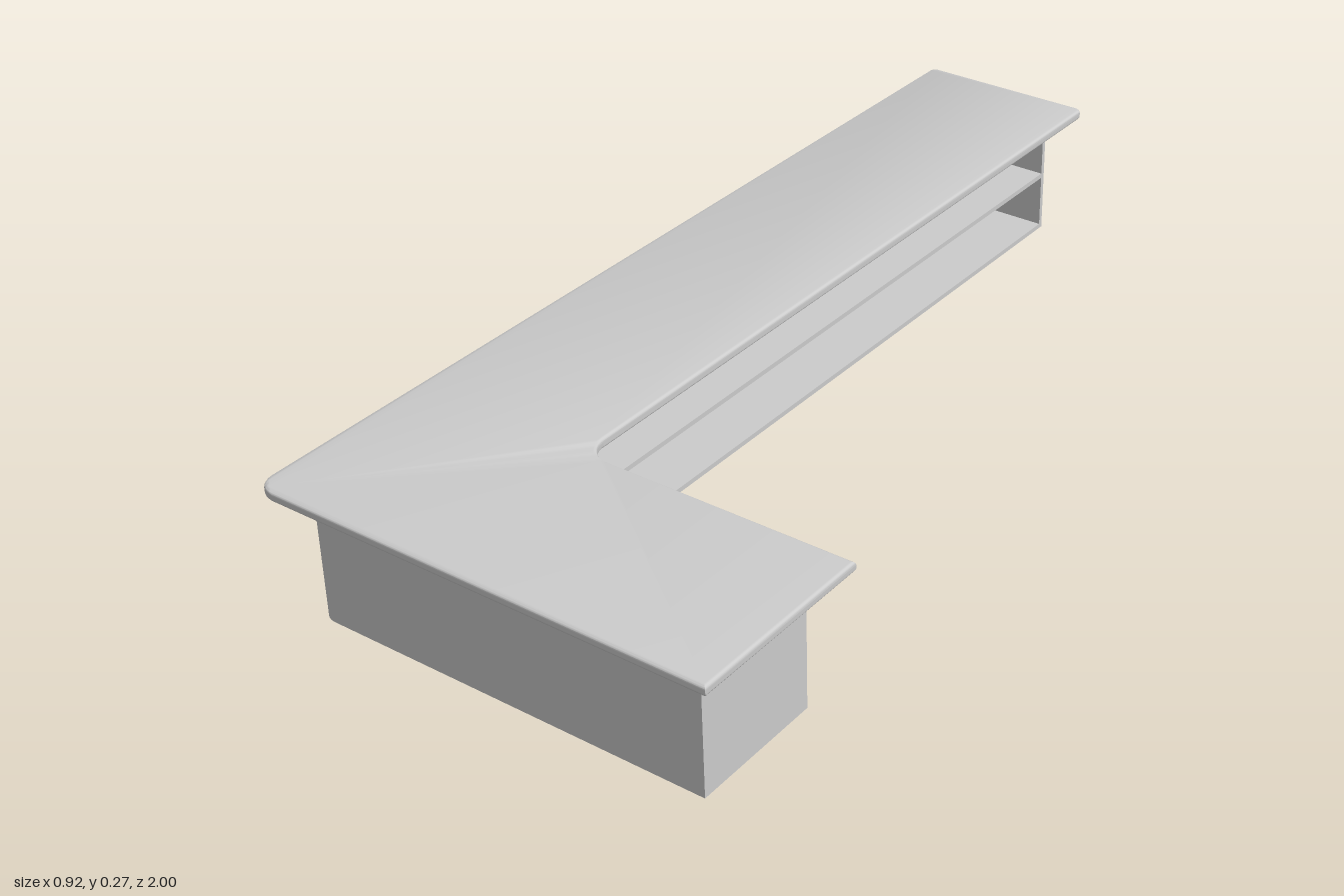
import * as THREE from 'three';
import { toCreasedNormals } from 'three/addons/utils/BufferGeometryUtils.js';

const material = new THREE.MeshStandardMaterial({ color: 0xcccccc });

// Closed plan outline from [x, z, cornerRadius] points
function roundedOutline(points) {
  const shape = new THREE.Shape();
  const n = points.length;
  const at = (i) => new THREE.Vector2(points[(i + n) % n][0], -points[(i + n) % n][1]);
  for (let i = 0; i < n; i++) {
    const r = points[i][2] || 0;
    const p = at(i);
    const a = p.clone().add(at(i - 1).sub(p).setLength(r));
    const b = p.clone().add(at(i + 1).sub(p).setLength(r));
    if (i === 0) shape.moveTo(a.x, a.y);
    else shape.lineTo(a.x, a.y);
    if (r > 0) {
      const k = 0.5523; // circular-arc handle length
      const c1 = a.clone().lerp(p, k), c2 = b.clone().lerp(p, k);
      shape.bezierCurveTo(c1.x, c1.y, c2.x, c2.y, b.x, b.y);
    }
  }
  shape.closePath();
  return shape;
}

// L-shaped plan: long leg along z on the right, short leg along x at the front
function lPlan({ x0, x1, z0, z1, xi, zi, outer, inner, end = 0 }) {
  return roundedOutline([
    [x0, z0, end], [x0, z1, outer], [x1, z1], [x1, zi], [xi, zi, inner], [xi, z0, end],
  ]);
}

// Horizontal slab from a plan outline, optionally with rounded edges
function slab(name, shape, y, height, bevel = 0) {
  const geometry = new THREE.ExtrudeGeometry(shape, {
    depth: height - 2 * bevel, curveSegments: 10,
    bevelEnabled: bevel > 0, bevelThickness: bevel, bevelSize: bevel,
    bevelOffset: -bevel, bevelSegments: 4,
  });
  geometry.rotateX(-Math.PI / 2);
  const mesh = new THREE.Mesh(toCreasedNormals(geometry, 0.6), material);
  mesh.position.y = y + bevel;
  mesh.name = name;
  return mesh;
}

function panel(name, w, h, d, x, y, z) {
  const mesh = new THREE.Mesh(new THREE.BoxGeometry(w, h, d), material);
  mesh.position.set(x, y, z);
  mesh.name = name;
  return mesh;
}

export function createModel() {
  const group = new THREE.Group();
  group.name = 'cornerCounter';
  const X = 0.405, Z = 0.945, XI = -0.14, ZI = 0.68;
  const H = 0.25, T = 0.01;

  // Overhanging worktop with softened edges
  group.add(slab('countertop', lPlan({
    x0: -0.459, x1: 0.457, z0: -1, z1: 1, xi: -0.085, zi: 0.62,
    outer: 0.04, inner: 0.05, end: 0.015,
  }), H, 0.02, 0.007));

  // Outer wall bending round the corner
  group.add(slab('outerWall', roundedOutline([
    [-X, -Z], [-X, Z, 0.035], [X, Z], [X, Z - T], [-X + T, Z - T, 0.025], [-X + T, -Z],
  ]), 0, H));

  // Base, middle and top shelves, open towards the inside of the L
  const shelfPlan = lPlan({
    x0: -X + T, x1: X - T, z0: -Z + T, z1: Z - T, xi: XI, zi: ZI,
    outer: 0.025, inner: 0.05,
  });
  [['baseShelf', 0], ['middleShelf', 0.12], ['topShelf', H - T]].forEach(([name, y]) =>
    group.add(slab(name, shelfPlan, y, T)));

  // Closing panels at the two free ends
  const legDepth = XI + X - T;
  group.add(panel('backEndPanel', legDepth, H, T, XI - legDepth / 2, H / 2, -Z + T / 2));
  const armDepth = Z - T - ZI;
  group.add(panel('leftEndPanel', T, H, armDepth, X - T / 2, H / 2, ZI + armDepth / 2));

  return group;
}
